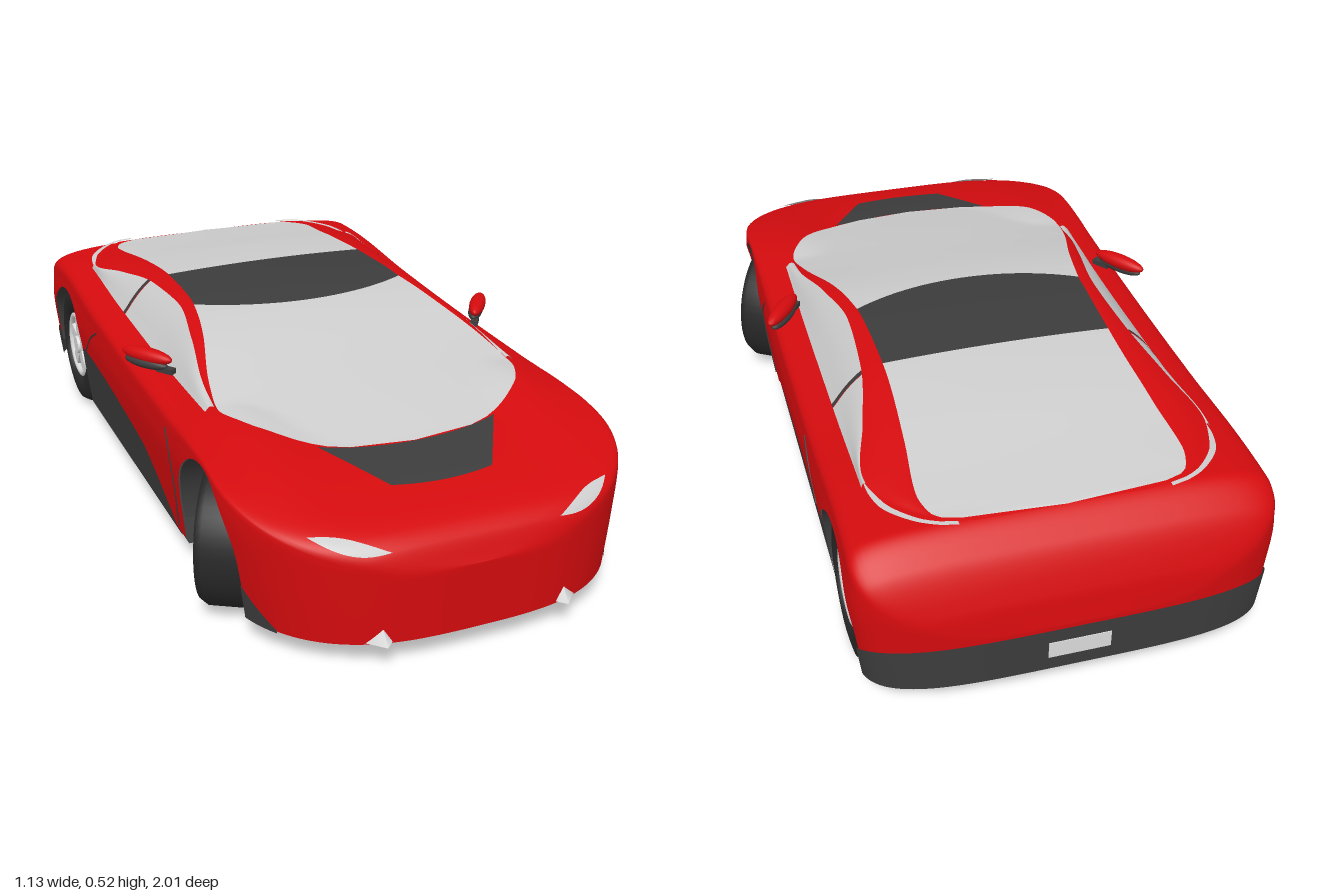
import * as THREE from 'three';

const mat = (name, color) => new THREE.MeshStandardMaterial({ name, color, side: THREE.DoubleSide });
const red = mat('red paint', 0xd40b0e), dark = mat('dark trim', 0x3c3c3c), tyreMat = mat('tyre rubber', 0x282828);
const glass = mat('pale glass', 0xcdcdcd), silver = mat('silver', 0xdcdcdc);

const lerp = THREE.MathUtils.lerp;

// Smooth monotone curve through [z, value] points
function curve(...p) {
  p.sort((a, b) => a[0] - b[0]);
  const n = p.length, d = [], m = [];
  for (let i = 0; i < n - 1; i++) d.push((p[i + 1][1] - p[i][1]) / (p[i + 1][0] - p[i][0]));
  for (let i = 0; i < n; i++) {
    const a = d[Math.max(i - 1, 0)], b = d[Math.min(i, n - 2)];
    m.push(a * b > 0 ? 2 * a * b / (a + b) : 0);
  }
  return z => {
    if (z <= p[0][0]) return p[0][1];
    if (z >= p[n - 1][0]) return p[n - 1][1];
    let i = 0;
    while (z > p[i + 1][0]) i++;
    const h = p[i + 1][0] - p[i][0], t = (z - p[i][0]) / h, t2 = t * t, t3 = t2 * t;
    return (2 * t3 - 3 * t2 + 1) * p[i][1] + (t3 - 2 * t2 + t) * h * m[i]
      + (3 * t2 - 2 * t3) * p[i + 1][1] + (t3 - t2) * h * m[i + 1];
  };
}

// Smooth surface from fn(u, v) with u in -1..1 (or 0..1) and v in 0..1
function patch(name, material, nu, nv, fn, u0 = -1) {
  const pos = [], idx = [];
  for (let j = 0; j <= nv; j++) for (let i = 0; i <= nu; i++) pos.push(...fn(lerp(u0, 1, i / nu), j / nv));
  for (let j = 0; j < nv; j++) for (let i = 0; i < nu; i++) {
    const a = j * (nu + 1) + i, b = a + nu + 1;
    idx.push(a, b, a + 1, a + 1, b, b + 1);
  }
  const g = new THREE.BufferGeometry();
  g.setAttribute('position', new THREE.Float32BufferAttribute(pos, 3));
  g.setIndex(idx);
  g.computeVertexNormals();
  return part(name, g, material);
}
function part(name, geometry, material, x = 0, y = 0, z = 0) {
  const m = new THREE.Mesh(geometry, material);
  m.name = name;
  m.position.set(x, y, z);
  return m;
}

// Body rules: plan half width, side tuck, bonnet and deck height, shoulder height
const WHEEL_Y = 0.18, FRONT_Z = 0.573, REAR_Z = -0.716, ARCH = 0.185;
const plan = z => z > 0.65 ? 0.51 * Math.cbrt(Math.max(0, 1 - ((z - 0.65) / 0.35) ** 2))
  : z < -0.85 ? 0.51 * Math.max(0, 1 - ((-0.85 - z) / 0.15) ** 3) ** 0.25 : 0.51;
const tuck = curve([0.05, 0.95], [0.2, 0.985], [0.3, 1], [0.36, 0.99], [0.42, 0.97]);
const deck = curve([1, 0.23], [0.97, 0.29], [0.93, 0.315], [0.81, 0.345], [0.66, 0.372], [0.4, 0.4], [0, 0.41],
  [-0.4, 0.425], [-0.7, 0.447], [-0.85, 0.45], [-0.93, 0.4], [-0.985, 0.29], [-1, 0.21]);
const shoulder = curve([1, 0.2], [0.97, 0.24], [0.9, 0.285], [0.8, 0.325], [0.7, 0.352], [0.575, 0.37], [0.3, 0.35],
  [0, 0.35], [-0.4, 0.36], [-0.72, 0.38], [-0.85, 0.37], [-0.93, 0.335], [-0.985, 0.25], [-1, 0.19]);
const skirtTop = curve([0.31, 0.06], [0.15, 0.165], [0.06, 0.2], [-0.475, 0.245], [-0.54, 0.24]);
const archAt = z => [FRONT_Z, REAR_Z].find(c => Math.abs(z - c) < ARCH);
function bottom(z) {
  const c = archAt(z);
  if (c !== undefined) return WHEEL_Y + Math.sqrt(ARCH ** 2 - (z - c) ** 2);
  return z < -0.8 ? Math.min(0.16, shoulder(z) - 0.01) : z < 0.31 ? skirtTop(z) : 0.065;
}
const sideX = (z, y) => plan(z) * tuck(y);
function bodyTop(z, x) {
  const e = shoulder(z), xe = sideX(z, e) + 1e-6;
  const bulge = 0.024 * Math.exp(-(((Math.abs(x) - 0.36) / 0.1) ** 2) - ((z - 0.48) / 0.25) ** 2);
  return e + (deck(z) + bulge - e) * Math.max(0, 1 - (x / xe) ** 4) ** 0.25;
}
// Farthest forward z on the nose at a given x and y
function noseZ(x, y) {
  let lo = 0.5, hi = 1;
  for (let i = 0; i < 24; i++) {
    const m = (lo + hi) / 2;
    if (Math.abs(x) < sideX(m, shoulder(m)) && bodyTop(m, x) >= y) lo = m; else hi = m;
  }
  return lo;
}

// Cabin rules: roof height, edge of upper glass, outer edge of the roof rail
const roofY = curve([0.66, 0.375], [0.5, 0.413], [0.3, 0.457], [0.1, 0.5], [0, 0.515], [-0.15, 0.525], [-0.3, 0.522],
  [-0.5, 0.506], [-0.7, 0.476], [-0.87, 0.452]);
const glassY = curve([0.66, 0.375], [0.4, 0.415], [0.3, 0.44], [0.1, 0.492], [0, 0.508], [-0.15, 0.518], [-0.3, 0.515],
  [-0.5, 0.497], [-0.7, 0.468], [-0.87, 0.447]);
const railY = curve([0.42, 0.405], [0.3, 0.432], [0.1, 0.483], [-0.1, 0.508], [-0.3, 0.503], [-0.5, 0.477],
  [-0.65, 0.45], [-0.87, 0.43]);
const glassX = curve([0.66, 0], [0.657, 0.08], [0.645, 0.15], [0.62, 0.22], [0.56, 0.31], [0.5, 0.365], [0.4, 0.402],
  [0.3, 0.388], [0.1, 0.335], [0, 0.315], [-0.1, 0.302], [-0.35, 0.295], [-0.6, 0.307], [-0.76, 0.32], [-0.82, 0.305],
  [-0.85, 0.27], [-0.863, 0.18], [-0.87, 0]);
const railX = curve([0.42, 0.405], [0.3, 0.4], [0.1, 0.366], [-0.1, 0.337], [-0.3, 0.347], [-0.5, 0.385],
  [-0.65, 0.42], [-0.75, 0.395], [-0.82, 0.345], [-0.86, 0.28], [-0.875, 0.15]);
const onBody = (z, x, y) => [x, Math.max(y, bodyTop(z, x) + 0.004), z];

function cabinTop(name, material, z0, z1, bend0, bend1) {
  return patch(name, material, 32, 40, (u, v) => {
    const z = lerp(z0 - bend0 * u * u, z1 - bend1 * u * u, v);
    return onBody(z, u * glassX(z), lerp(roofY(z), glassY(z), u * u));
  });
}

// Wheel with its outer face toward +x
function makeWheel(name) {
  const g = new THREE.Group();
  g.name = name;
  const profile = [[0.1, -0.06], [0.14, -0.07], [0.168, -0.064], [0.18, -0.045], [0.18, 0.045], [0.168, 0.064], [0.14, 0.07],
    [0.1, 0.06], [0.1, -0.06]].map(p => new THREE.Vector2(...p));
  const tyre = part('tyre', new THREE.LatheGeometry(profile, 48), tyreMat);
  const back = part('rimBack', new THREE.CylinderGeometry(0.1, 0.1, 0.08, 32), dark);
  const hub = part('hub', new THREE.CylinderGeometry(0.026, 0.032, 0.024, 20), silver, 0.055);
  for (const m of [tyre, back, hub]) m.rotation.z = -Math.PI / 2;
  const ring = part('rimRing', new THREE.TorusGeometry(0.093, 0.01, 8, 40), silver, 0.055);
  ring.rotation.y = Math.PI / 2;
  g.add(tyre, back, hub, ring);
  for (let i = 0; i < 5; i++) {
    const spoke = new THREE.BoxGeometry(0.014, 0.075, 0.04);
    spoke.translate(0.052, 0.053, 0);
    const m = part('spoke', spoke, silver);
    m.rotation.x = i * Math.PI * 0.4;
    g.add(m);
  }
  return g;
}

export function createModel() {
  const car = new THREE.Group();
  car.name = 'sportsCar';

  // Painted shell, with wheel arches left open
  car.add(patch('bodyShell', red, 72, 260, (u, v) => {
    const z = Math.sin((v - 0.5) * Math.PI), a = Math.abs(u), s = Math.sign(u), low = bottom(z);
    const e = Math.max(shoulder(z), low + 0.004);
    if (a < 0.55) {
      const x = sideX(z, shoulder(z)) * Math.sin(a / 0.55 * Math.PI / 2);
      return [s * x, bodyTop(z, x), z];
    }
    const y = lerp(e, low, (a - 0.55) / 0.45);
    return [s * sideX(z, y), y, z];
  }));

  // Cabin glass, roof and bonnet panel
  car.add(cabinTop('windscreen', glass, 0.66, 0.02, 0, 0.08));
  car.add(cabinTop('roofPanel', dark, 0.02, -0.32, 0.08, 0));
  car.add(cabinTop('rearGlass', glass, -0.32, -0.87, 0, 0));
  car.add(patch('bonnetPanel', dark, 24, 16, (u, v) => {
    const z = lerp(0.66 - 0.04 * u * u, 0.815 - 0.015 * u * u, v), x = u * lerp(0.235, 0.13, v);
    return [x, bodyTop(z, x) + 0.003, z];
  }));

  // Floor, inner chassis and rear bumper
  const floorY = curve([-1, 0.12], [-0.9, 0.1], [-0.57, 0.05], [0.4, 0.05], [0.8, 0.06], [1, 0.068]);
  car.add(patch('floor', dark, 12, 160, (u, v) => {
    const z = lerp(-0.96, 0.985, v);
    return [u * (archAt(z) === undefined ? plan(z) * 0.94 : 0.3), floorY(z), z];
  }));
  car.add(part('chassis', new THREE.BoxGeometry(0.6, 0.24, 1.55), dark, 0, 0.2, -0.1));
  car.add(patch('rearBumper', dark, 80, 8, (u, v) => {
    const a = Math.abs(u), z = -1 + 0.1 * a ** 3, y = lerp(0.08, 0.2 - 0.035 * a ** 6, v);
    return [Math.sign(u) * (sideX(z, y) + 0.004), y, z - 0.002];
  }));
  car.add(part('rearPlate', new THREE.BoxGeometry(0.15, 0.045, 0.008), silver, 0, 0.14, -1.0));
  for (const z of [FRONT_Z, REAR_Z]) {
    const axle = part('axle', new THREE.CylinderGeometry(0.03, 0.03, 0.8, 16), dark, 0, WHEEL_Y, z);
    axle.rotation.z = Math.PI / 2;
    car.add(axle);
  }

  for (const s of [1, -1]) {
    const side = new THREE.Group();
    side.name = s > 0 ? 'leftSide' : 'rightSide';

    // Roof rail and side windows with a dark pillar between
    side.add(patch('roofRail', red, 6, 90, (u, v) => {
      const z = lerp(0.42, -0.87, v), x = lerp(glassX(z), railX(z), u);
      const p = onBody(z, x, lerp(glassY(z), railY(z), u * u));
      return [s * p[0], p[1], z];
    }, 0));
    const sideWindow = (name, m, z0, z1, lift) => side.add(patch(name, m, 8, 30, (u, v) => {
      const z = lerp(z0, z1, v), x = lerp(railX(z), 0.428, u);
      const y = lerp(railY(z), bodyTop(z, 0.428), u) + 0.008 * Math.sin(u * Math.PI);
      return [s * (x + lift), Math.max(y, bodyTop(z, x) + 0.002) + lift, z];
    }, 0));
    sideWindow('doorWindow', glass, 0.38, -0.32, 0);
    sideWindow('pillar', dark, -0.32, -0.335, 0.001);
    sideWindow('quarterWindow', glass, -0.335, -0.68, 0);

    // Side skirt and arch liners
    side.add(patch('sideSkirt', dark, 8, 60, (u, v) => {
      const z = lerp(0.33, -0.56, v), y = lerp(0.05, Math.max(skirtTop(z), 0.06), u);
      return [s * (sideX(z, y) - 0.003), y, z];
    }, 0));
    for (const c of [FRONT_Z, REAR_Z]) side.add(patch('archLiner', dark, 4, 32, (u, v) => {
      const a = lerp(-0.25, Math.PI + 0.25, v), z = c + ARCH * Math.cos(a), y = WHEEL_Y + ARCH * Math.sin(a);
      return [s * lerp(0.29, sideX(z, y) - 0.004, u), y, z];
    }, 0));
    side.add(patch('frontCornerTrim', dark, 6, 8, (u, v) => {
      const z = lerp(0.762, 0.85, v), y = lerp(0.062, lerp(0.15, 0.07, v), u);
      return [s * (sideX(z, y) + 0.003), y, z];
    }, 0));

    // Headlamp slit, fog lamp and tail lamp strip
    side.add(patch('headlamp', glass, 4, 24, (u, v) => {
      const x = lerp(0.21, 0.378, v), y = lerp(0.285, 0.318, v) + (u - 0.6) * 0.026 * Math.sin(v * Math.PI);
      return [s * x, y + 0.003, noseZ(x, y) + 0.005];
    }, 0));
    const fog = part('fogLamp', new THREE.ConeGeometry(0.042, 0.055, 4), silver, s * 0.23, 0.096, 0.965);
    side.add(fog);
    side.add(patch('tailLamp', glass, 3, 24, (u, v) => {
      const z = lerp(-0.66, -0.865, v), x = railX(z) + 0.014 * u * Math.sin(v * Math.PI);
      return [s * x, bodyTop(z, x) + 0.006, z - 0.012 * u * v];
    }, 0));

    // Door seams
    const seams = [[[0.33, 0.08], [0.35, 0.2], [0.335, 0.3], [0.3, 0.345]], [[-0.35, 0.355], [-0.41, 0.32], [-0.49, 0.25]]];
    for (const pts of seams) {
      const path = new THREE.CatmullRomCurve3(pts.map(([z, y]) => new THREE.Vector3(s * sideX(z, y), y, z)));
      side.add(part('doorSeam', new THREE.TubeGeometry(path, 16, 0.003, 5), dark));
    }

    // Door mirror
    const mirror = new THREE.Group();
    mirror.name = 'mirror';
    const shell = new THREE.SphereGeometry(1, 24, 14).scale(0.08, 0.02, 0.022);
    mirror.add(part('mirrorCap', shell, red, 0, 0.008, 0));
    mirror.add(part('mirrorBase', shell.clone().scale(0.85, 0.8, 0.9), dark, 0, -0.01, -0.004));
    mirror.add(part('mirrorStalk', new THREE.BoxGeometry(0.05, 0.014, 0.02), dark, -0.06, -0.02, 0));
    mirror.position.set(s * 0.483, 0.443, 0.085);
    mirror.rotation.y = s > 0 ? 0.96 : Math.PI - 0.96;
    side.add(mirror);

    // Wheels, the front pair steered
    const turn = s > 0 ? 0 : Math.PI;
    const front = makeWheel('frontWheel'), rear = makeWheel('rearWheel');
    front.position.set(s * 0.425, WHEEL_Y, FRONT_Z);
    front.rotation.y = turn - 0.54;
    rear.position.set(s * 0.42, WHEEL_Y, REAR_Z);
    rear.rotation.y = turn;
    side.add(front, rear);
    car.add(side);
  }
  return car;
}
